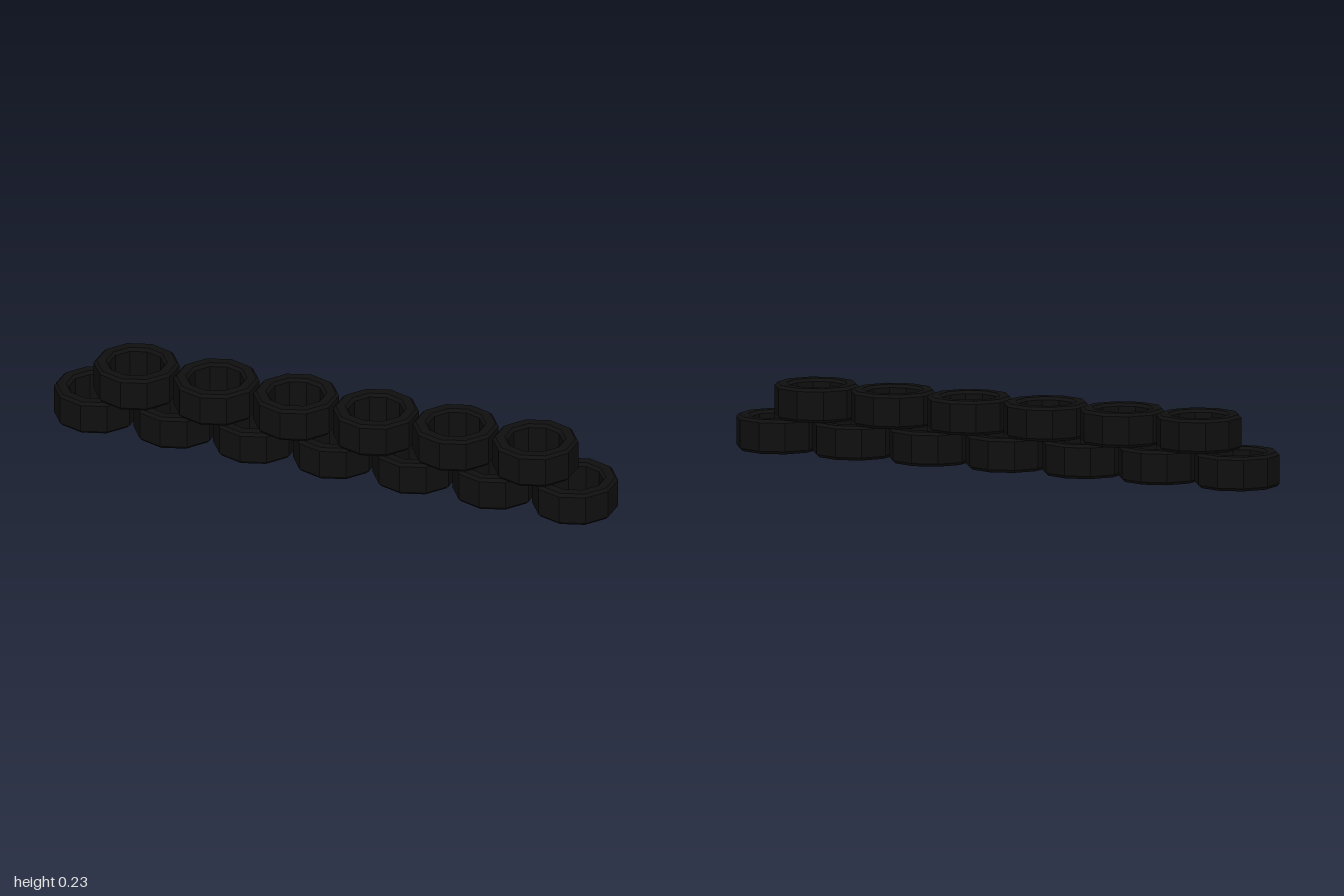
import * as THREE from 'three';

const RADIUS = 0.144, HOLE = 0.093, HEIGHT = 0.116, BEVEL = 0.01, SPACING = 0.2877;

// Closed tyre cross-section: outer tread upward, then back down the hole
function tyreGeometry() {
  const profile = [
    [RADIUS - BEVEL, 0],
    [RADIUS, BEVEL],
    [RADIUS, HEIGHT - BEVEL],
    [RADIUS - BEVEL, HEIGHT],
    [HOLE + BEVEL, HEIGHT],
    [HOLE, HEIGHT - BEVEL],
    [HOLE, BEVEL],
    [HOLE + BEVEL, 0],
    [RADIUS - BEVEL, 0],
  ].map(([r, y]) => new THREE.Vector2(r, y));
  return new THREE.LatheGeometry(profile, 10);
}

export function createModel() {
  const model = new THREE.Group();
  model.name = 'tyreBarrier';
  const geometry = tyreGeometry();
  const rubber = new THREE.MeshStandardMaterial({ color: 0x0f0f0f, flatShading: true });

  // Centred row of evenly spaced tyres
  function addRow(name, count, y) {
    const row = new THREE.Group();
    row.name = name;
    row.position.y = y;
    for (let i = 0; i < count; i++) {
      const tyre = new THREE.Mesh(geometry, rubber);
      tyre.name = 'tyre';
      tyre.position.x = (i - (count - 1) / 2) * SPACING;
      row.add(tyre);
    }
    model.add(row);
  }

  addRow('bottomRow', 7, 0);
  addRow('topRow', 6, HEIGHT);
  return model;
}
